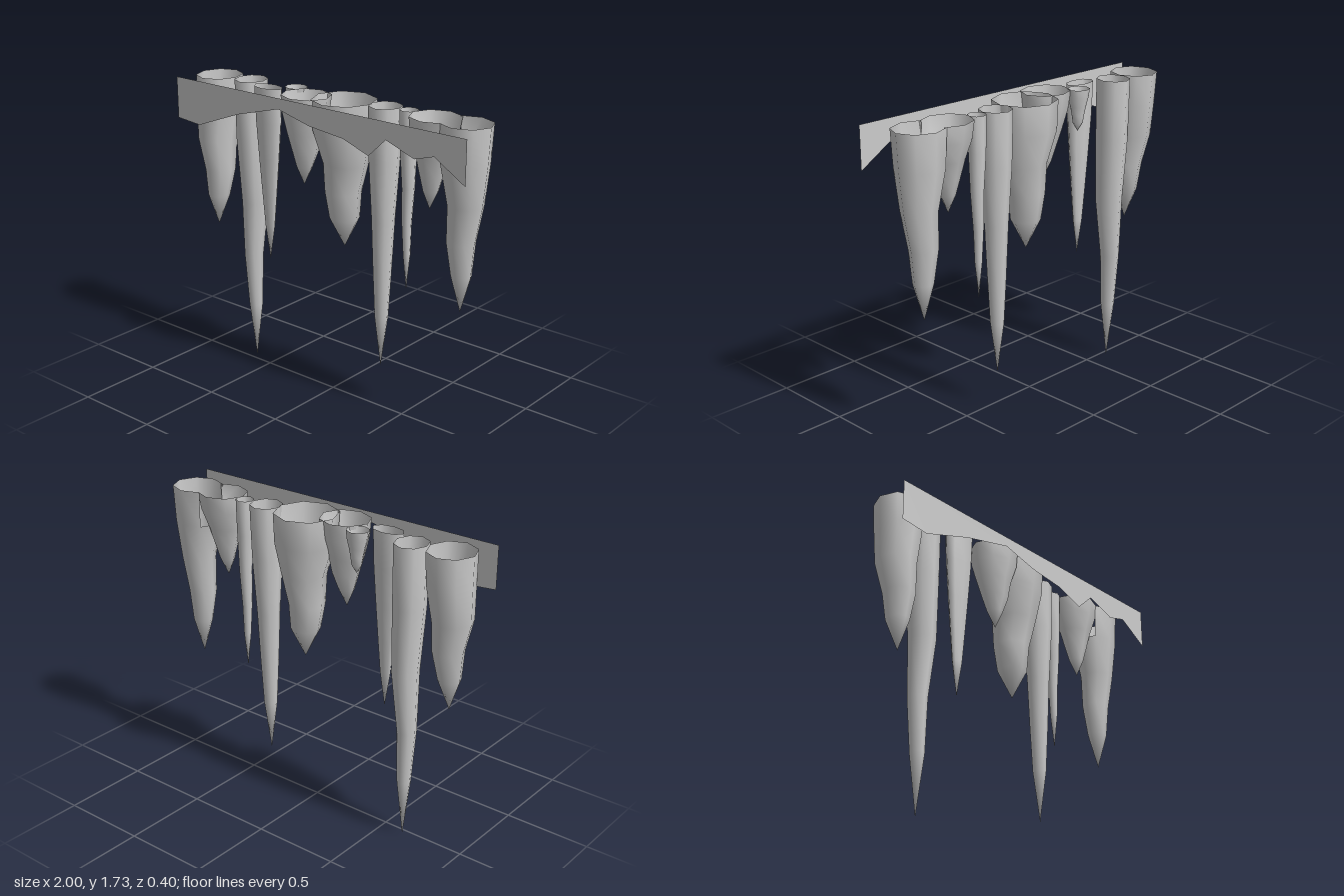
import * as THREE from 'three';

const TOP = 1.73;
const SIDES = 8;
const RING_STEPS = [0, 0.2, 0.42, 0.62, 0.8]; // ring heights as fractions from rim to tip
const SWAY = [0, 0, 1, -0.7, 0]; // how far each ring follows the icicle's sideways sway

// rim: [x, z, half width, half depth], tip: [x, y, z], widths: ring scale below the rim,
// sway: sideways kink, open: sides left out at the rim where two icicles run together
const ICICLES = [
  { rim: [-0.86, -0.008, 0.13, 0.138], tip: [-0.86, 0.83, 0.035], widths: [0.97, 0.84, 0.66, 0.48], sway: -0.014 },
  { rim: [-0.64, -0.04, 0.09, 0.1], tip: [-0.638, 0, -0.035], widths: [0.97, 0.81, 0.58, 0.42], sway: 0.012 },
  { rim: [-0.44, 0.035, 0.098, 0.055], tip: [-0.44, 0.71, 0.04], widths: [0.91, 0.72, 0.53, 0.35], sway: 0 },
  { rim: [-0.32, -0.065, 0.065, 0.06], tip: [-0.315, 1.49, -0.065], widths: [0.9, 0.7, 0.55, 0.45], sway: 0 },
  { rim: [-0.16, 0.035, 0.145, 0.132], tip: [-0.163, 1.225, 0.053], widths: [0.93, 0.7, 0.53, 0.32], sway: -0.005 },
  { rim: [0.058, -0.022, 0.18, 0.178], tip: [0.06, 0.89, -0.03], widths: [0.96, 0.7, 0.57, 0.47], sway: 0.012 },
  { rim: [0.31, -0.058, 0.09, 0.092], tip: [0.307, 0.22, -0.05], widths: [0.93, 0.71, 0.57, 0.42], sway: 0 },
  { rim: [0.455, -0.07, 0.05, 0.05], tip: [0.46, 0.72, -0.07], widths: [0.92, 0.71, 0.55, 0.4], sway: 0.004 },
  { rim: [0.64, -0.048, 0.145, 0.132], tip: [0.63, 1.235, -0.03], widths: [0.91, 0.65, 0.47, 0.3], sway: 0, open: [0, 7] },
  { rim: [0.83, -0.05, 0.145, 0.135], tip: [0.83, 0.7, -0.05], widths: [0.93, 0.69, 0.56, 0.4], sway: 0.012, open: [3, 4] },
];

// Open-topped eight-sided spike: elliptical rings slide and shrink from rim to tip
function icicleGeometry({ rim: [x, z, rx, rz], tip, widths, sway, open = [] }) {
  const positions = [];
  const index = [];
  const rimCentre = new THREE.Vector3(x, TOP, z);
  const tipPoint = new THREE.Vector3(...tip);
  const scales = [1, ...widths];
  RING_STEPS.forEach((t, r) => {
    const centre = rimCentre.clone().lerp(tipPoint, t);
    centre.x += sway * SWAY[r];
    for (let i = 0; i < SIDES; i++) {
      const a = (i / SIDES) * Math.PI * 2;
      positions.push(centre.x + Math.cos(a) * rx * scales[r], centre.y, centre.z + Math.sin(a) * rz * scales[r]);
    }
  });
  positions.push(...tip);

  const last = RING_STEPS.length - 1;
  const tipIndex = RING_STEPS.length * SIDES;
  for (let r = 0; r <= last; r++) {
    for (let i = 0; i < SIDES; i++) {
      if (r === 0 && open.includes(i)) continue;
      const a = r * SIDES + i;
      const b = r * SIDES + ((i + 1) % SIDES);
      if (r === last) index.push(a, b, tipIndex);
      else index.push(a, b, a + SIDES, b, b + SIDES, a + SIDES);
    }
  }
  const geometry = new THREE.BufferGeometry();
  geometry.setAttribute('position', new THREE.Float32BufferAttribute(positions, 3));
  geometry.setIndex(index);
  geometry.computeVertexNormals();
  return geometry;
}

export function createModel() {
  const model = new THREE.Group();
  model.name = 'icicles';
  const material = new THREE.MeshStandardMaterial({ color: 0xcccccc, side: THREE.DoubleSide });

  // Hanging icicles
  ICICLES.forEach((spec, i) => {
    const icicle = new THREE.Mesh(icicleGeometry(spec), material);
    icicle.name = `icicle${i + 1}`;
    model.add(icicle);
  });

  // Thin sheet of ice along the front, with a wavy lower edge
  const lowerEdge = [[-1, 1.49], [-0.83, 1.475], [-0.52, 1.59], [-0.22, 1.67], [0, 1.615], [0.23, 1.59],
    [0.4, 1.53], [0.51, 1.635], [0.69, 1.57], [0.81, 1.605], [1, 1.49]];
  const outline = [...lowerEdge, [1, TOP], [-1, TOP]].map(([x, y]) => new THREE.Vector2(x, y));
  const sheet = new THREE.Mesh(new THREE.ShapeGeometry(new THREE.Shape(outline)), material);
  sheet.name = 'frontIceSheet';
  sheet.position.z = 0.197;
  model.add(sheet);

  return model;
}
